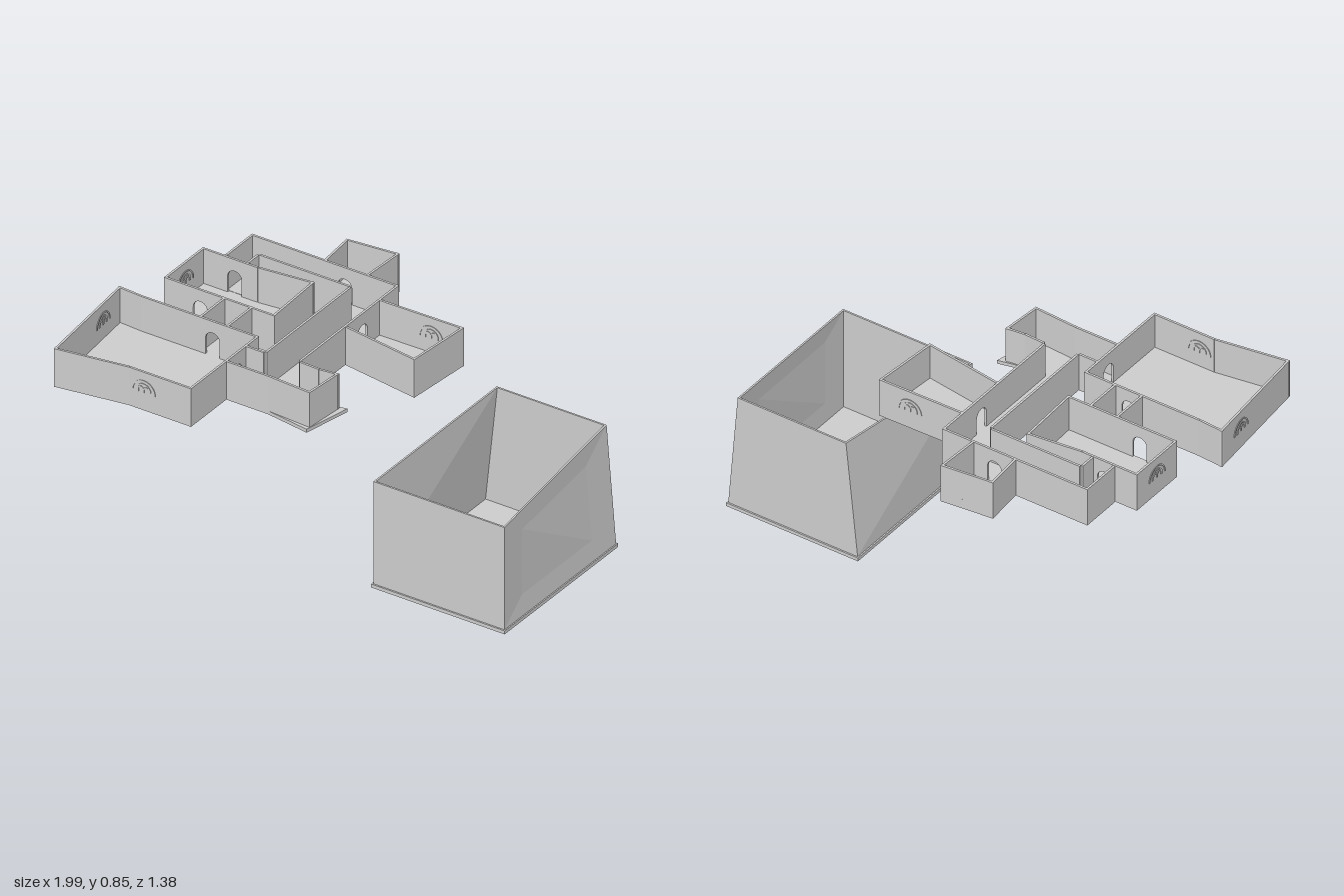
import * as THREE from 'three';

const material = new THREE.MeshStandardMaterial({ color: 0xcccccc, flatShading: true, side: THREE.DoubleSide });
const BASE = 0.674, FLOOR = 0.016, TOP = 0.852, T = 0.01;

function add(parent, geometry, name) {
  const mesh = new THREE.Mesh(geometry, material);
  mesh.name = name;
  parent.add(mesh);
  return mesh;
}

// Flat slab over a plan outline of [x, z] corners
function floorSlab(parent, plan) {
  const shape = new THREE.Shape(plan.map(([x, z]) => new THREE.Vector2(x, -z)));
  const g = new THREE.ExtrudeGeometry(shape, { depth: FLOOR, bevelEnabled: false });
  g.rotateX(-Math.PI / 2).translate(0, BASE, 0);
  add(parent, g, 'floor');
}

// Raised window tracery: an outer arch, two small arches inside it and a sill
function windowFrame(parent, x) {
  const y = 0.083;
  const arch = (cx, r, leg) => {
    const s = new THREE.Shape();
    s.moveTo(cx - r, y);
    s.lineTo(cx - r, y + leg);
    s.absarc(cx, y + leg, r, Math.PI, 0, true);
    s.lineTo(cx + r, y);
    s.lineTo(cx + r - 0.006, y);
    s.lineTo(cx + r - 0.006, y + leg);
    s.absarc(cx, y + leg, r - 0.006, 0, Math.PI, false);
    s.lineTo(cx - r + 0.006, y);
    const g = new THREE.ExtrudeGeometry(s, { depth: T + 0.006, bevelEnabled: false, curveSegments: 10 });
    add(parent, g.translate(0, 0, -0.003), 'windowArch');
  };
  arch(x, 0.057, 0);
  arch(x, 0.036, 0.006);
  arch(x - 0.014, 0.016, 0.012);
  arch(x + 0.014, 0.016, 0.012);
}

// One upright wall from a to b, thickened towards the room, with an optional arched door or a window
function wall(parent, a, b, opening = {}) {
  const dx = b[0] - a[0], dz = b[1] - a[1], len = Math.hypot(dx, dz), h = TOP - BASE;
  const s = new THREE.Shape();
  s.moveTo(0, 0);
  if (opening.door !== undefined) {
    const c = opening.door * len, r = 0.034;
    s.lineTo(c - r, 0);
    s.lineTo(c - r, 0.09);
    s.absarc(c, 0.09, r, Math.PI, 0, true);
    s.lineTo(c + r, 0);
  }
  s.lineTo(len, 0);
  s.lineTo(len, h);
  s.lineTo(0, h);
  const holder = new THREE.Group();
  holder.name = 'wall';
  holder.position.set(a[0], BASE, a[1]);
  holder.rotation.y = -Math.atan2(dz, dx);
  add(holder, new THREE.ExtrudeGeometry(s, { depth: T, bevelEnabled: false, curveSegments: 10 }), 'wallPanel');
  if (opening.window !== undefined) windowFrame(holder, opening.window * len);
  parent.add(holder);
}

// Room from a plan running clockwise seen from above; options are keyed by edge number
function room(parent, name, plan, edges = {}, floorPlan = plan) {
  const g = new THREE.Group();
  g.name = name;
  floorSlab(g, floorPlan);
  plan.forEach((p, i) => {
    if (edges[i] !== 'open') wall(g, p, plan[(i + 1) % plan.length], edges[i]);
  });
  parent.add(g);
  return g;
}

// Open bin with side walls leaning in towards the taller back
function tallBin(parent) {
  const g = new THREE.Group();
  g.name = 'tallOpenBox';
  add(g, new THREE.BoxGeometry(0.645, 0.016, 0.812).translate(0.671, 0.008, -0.068), 'base');
  const ring = (y, front, back, inset) => {
    const [fy, by] = y;
    return [
      [back[0] + inset, by, -0.467 + inset], [back[1] - inset, by, -0.467 + inset],
      [front[1] - inset, fy, 0.331 - inset], [front[0] + inset, fy, 0.331 - inset],
    ];
  };
  const low = [0.016, 0.016], high = [0.495, 0.557];
  const foot = [0.355, 0.988], rim = [0.412, 0.942];
  const rings = [ring(low, foot, foot, 0), ring(high, foot, rim, 0), ring(high, foot, rim, 0.008), ring(low, foot, foot, 0.008)];
  const index = [];
  for (let k = 0; k < 3; k++) for (let i = 0; i < 4; i++) {
    const a = k * 4 + i, b = k * 4 + (i + 1) % 4;
    index.push(b, a, a + 4, b, a + 4, b + 4);
  }
  const geo = new THREE.BufferGeometry();
  geo.setAttribute('position', new THREE.Float32BufferAttribute(rings.flat(2), 3));
  geo.setIndex(index);
  const flat = geo.toNonIndexed();
  flat.computeVertexNormals();
  add(g, flat, 'binWalls');
  parent.add(g);
}

export function createModel() {
  const model = new THREE.Group();
  model.name = 'floorPlanModel';

  // Large front room
  room(model, 'largeRoom',
    [[-1, 0.14], [-0.88, 0.148], [-0.32, 0.148], [-0.32, 0.635], [-0.62, 0.635], [-0.948, 0.686]],
    { 1: { door: 0.61 }, 2: { door: 0.32 }, 3: { window: 0.76 }, 5: { window: 0.72 } });

  // Middle room
  room(model, 'middleRoom',
    [[-0.89, -0.295], [-0.62, -0.295], [-0.37, -0.322], [-0.357, -0.015], [-0.89, -0.015]],
    { 0: { door: 0.59 }, 3: { door: 0.67 }, 4: { window: 0.5 } });

  // Short passage between the two rooms
  room(model, 'passage',
    [[-0.605, -0.015], [-0.465, -0.015], [-0.465, 0.148], [-0.605, 0.148]], { 0: 'open', 2: 'open' });

  // Long bent corridor ending in a flared porch, whose floor juts past the walls
  const corridor = (tip, corner) => [
    [-0.785, -0.49], [-0.075, -0.49], [-0.075, 0.212], [0.02, 0.216], tip, corner, [-0.12, 0.382],
    [-0.32, 0.382], [-0.32, 0.232], [-0.235, 0.232], [-0.235, -0.37], [-0.67, -0.37], [-0.67, -0.297], [-0.785, -0.297]];
  room(model, 'corridor', corridor([0.106, 0.206], [0.09, 0.395]),
    { 0: { door: 0.64 }, 1: { door: 0.37 }, 7: 'open', 12: 'open' },
    corridor([0.135, 0.19], [0.088, 0.413]));

  // Side room
  room(model, 'sideRoom',
    [[-0.075, -0.36], [0.322, -0.366], [0.295, -0.05], [-0.075, -0.105]], { 0: { window: 0.62 }, 3: 'open' });

  // Small back room with a curved corner kerb
  const back = room(model, 'backRoom',
    [[-0.45, -0.67], [-0.21, -0.694], [-0.22, -0.49], [-0.435, -0.49]], { 2: 'open' });
  const kerb = new THREE.Shape();
  kerb.absarc(0, 0, 0.098, Math.PI, Math.PI * 1.5, false);
  kerb.absarc(0, 0, 0.082, Math.PI * 1.5, Math.PI, true);
  const kerbGeo = new THREE.ExtrudeGeometry(kerb, { depth: 0.03, bevelEnabled: false, curveSegments: 10 });
  kerbGeo.rotateX(-Math.PI / 2).translate(-0.215, BASE + FLOOR, -0.685);
  add(back, kerbGeo, 'cornerKerb');

  tallBin(model);
  return model;
}
